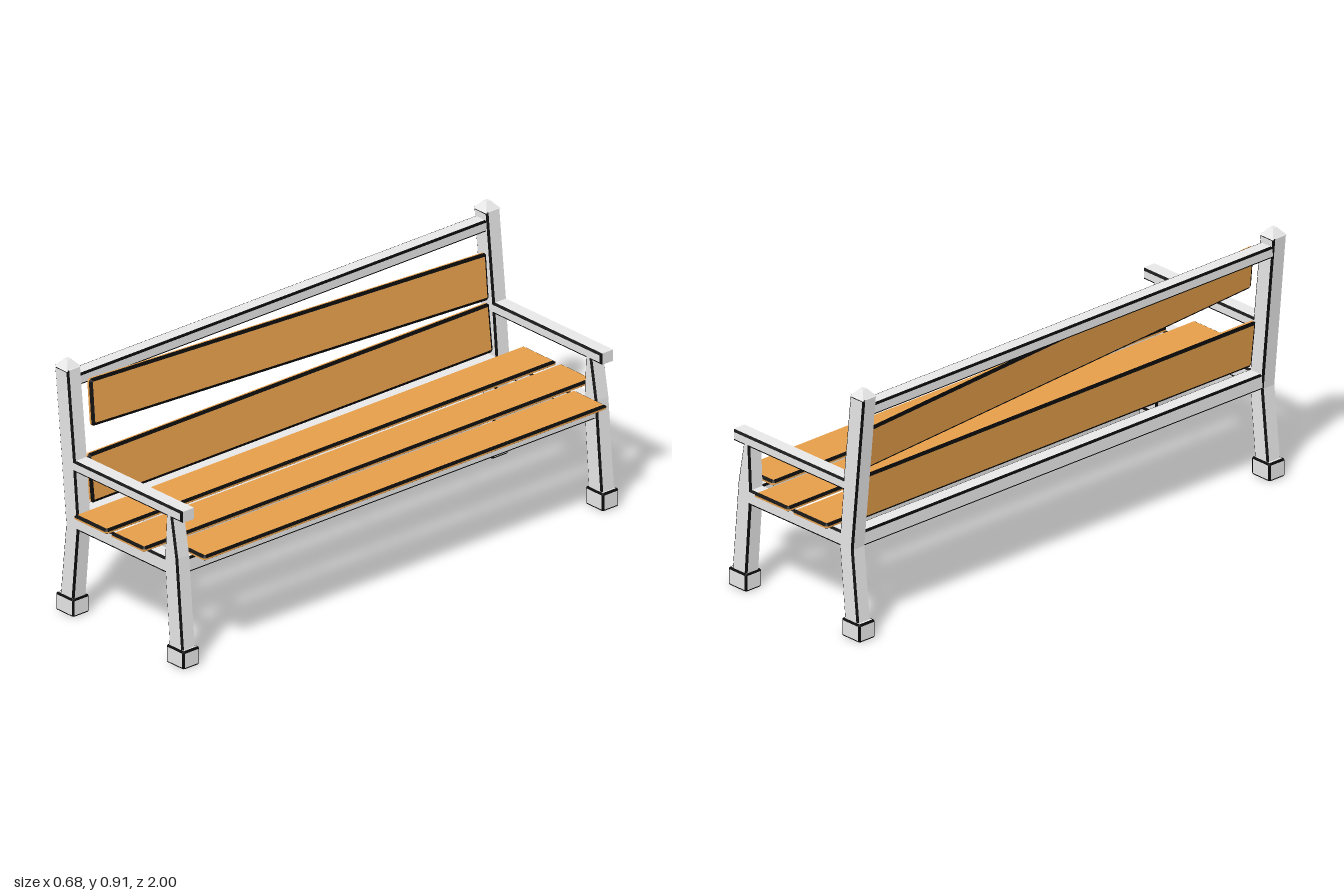
import * as THREE from 'three';
import { RoundedBoxGeometry } from 'three/addons/geometries/RoundedBoxGeometry.js';

const metal = new THREE.MeshStandardMaterial({ color: 0xe7e7e7 });
const wood = new THREE.MeshStandardMaterial({ color: 0xe59e4a });
const ink = new THREE.MeshStandardMaterial({ color: 0x080808 });
metal.name = 'paleGreyMetal';
wood.name = 'warmWood';
ink.name = 'blackEdge';

const points = list => list.map(q => new THREE.Vector2(...q));

// Flat-shaded mesh whose bevel faces, picked by their normal, are black
function edgedMesh(name, geometry, material, isBevel) {
  const g = geometry.index ? geometry.toNonIndexed() : geometry;
  g.clearGroups();
  g.computeVertexNormals();
  const faces = [], bevels = [];
  const n = new THREE.Vector3();
  for (let i = 0; i < g.attributes.position.count; i += 3) {
    n.fromBufferAttribute(g.attributes.normal, i);
    (isBevel(n) ? bevels : faces).push(i, i + 1, i + 2);
  }
  g.setIndex([...faces, ...bevels]);
  g.addGroup(0, faces.length, 0);
  g.addGroup(faces.length, bevels.length, 1);
  const mesh = new THREE.Mesh(g, [material, ink]);
  mesh.name = name;
  return mesh;
}

// Extrusion with bevelled rims, centred on its thickness, keeping the outline's size
function edgedExtrude(name, shape, thickness, rim, rimDepth, material) {
  const g = new THREE.ExtrudeGeometry(shape, {
    depth: thickness - 2 * rimDepth, bevelThickness: rimDepth,
    bevelSize: rim, bevelOffset: -rim, bevelSegments: 1,
  });
  g.translate(0, 0, rimDepth - thickness / 2);
  return edgedMesh(name, g, material, n => Math.abs(n.z) > 0.1 && Math.abs(n.z) < 0.99);
}

function bar(name, w, h, d, x, y, z) {
  const b = edgedMesh(name, new RoundedBoxGeometry(w, h, d, 1, 0.007), metal,
    n => Math.max(Math.abs(n.x), Math.abs(n.y), Math.abs(n.z)) < 0.99);
  b.position.set(x, y, z);
  return b;
}

// Board laid along the given length and width directions
function board(name, width, length, thickness, centre, along, across) {
  const w = width / 2, l = length / 2, r = 0.008;
  const shape = new THREE.Shape(points([
    [w - r, -l], [w, -l + r], [w, l - r], [w - r, l],
    [-w + r, l], [-w, l - r], [-w, -l + r], [-w + r, -l],
  ]));
  const b = edgedExtrude(name, shape, thickness, 0.011, 0.007, wood);
  const L = new THREE.Vector3(...along).normalize();
  const W = new THREE.Vector3(...across);
  W.addScaledVector(L, -W.dot(L)).normalize();
  b.quaternion.setFromRotationMatrix(
    new THREE.Matrix4().makeBasis(W, L, new THREE.Vector3().crossVectors(W, L)));
  b.position.set(...centre);
  return b;
}

// One end of the bench: legs, post, armrest and seat bearer in a single profile
function endFrame() {
  const shape = new THREE.Shape(points([
    [-0.313, 0.055], [-0.245, 0.055], [-0.22, 0.32], [0.21, 0.32], [0.23, 0.055],
    [0.301, 0.055], [0.272, 0.39], [0.247, 0.53], [0.296, 0.53], [0.296, 0.571],
    [-0.238, 0.571], [-0.271, 0.889], [-0.341, 0.889], [-0.285, 0.325],
  ]));
  shape.holes.push(new THREE.Path(points([
    [-0.222, 0.377], [-0.236, 0.53], [0.216, 0.53], [0.208, 0.377],
  ])));
  return edgedExtrude('endFrame', shape, 0.06, 0.008, 0.006, metal);
}

export function createModel() {
  const bench = new THREE.Group();
  bench.name = 'bench';

  for (const s of [-1, 1]) {
    const z = s * 0.93;
    const frame = endFrame();
    frame.position.z = z;
    bench.add(frame);

    // Feet
    bench.add(bar('rearFoot', 0.088, 0.066, 0.072, -0.282, 0.033, z));
    bench.add(bar('frontFoot', 0.088, 0.066, 0.072, 0.268, 0.033, z));

    // Pointed post cap
    const cap = new THREE.CylinderGeometry(0.012, 0.046, 0.028, 4).toNonIndexed();
    cap.rotateY(Math.PI / 4);
    cap.computeVertexNormals();
    const capMesh = new THREE.Mesh(cap, metal);
    capMesh.name = 'postCap';
    capMesh.position.set(-0.306, 0.9, z);
    bench.add(capMesh);
  }

  // Long rails joining the two ends
  bench.add(bar('topRail', 0.056, 0.042, 1.83, -0.304, 0.838, 0));
  bench.add(bar('rearSeatRail', 0.06, 0.056, 1.83, -0.252, 0.349, 0));
  bench.add(bar('frontSeatRail', 0.054, 0.056, 1.83, 0.238, 0.349, 0));

  // Seat boards, the front one shorter
  for (const [x, length] of [[-0.118, 2], [0.068, 2], [0.252, 1.79]]) {
    bench.add(board('seatBoard', 0.168, length, 0.02, [x, 0.391, 0], [0, 0, 1], [1, 0, 0]));
  }

  // Back boards, the upper one hanging crooked
  bench.add(board('lowerBackBoard', 0.174, 1.782, 0.022, [-0.247, 0.484, 0],
    [0, 0, 1], [-0.02, 0.17, 0]));
  bench.add(board('upperBackBoard', 0.164, 1.782, 0.022, [-0.253, 0.714, 0],
    [0.02, 0.097, 1.78], [-0.025, 0.17, 0]));

  return bench;
}
